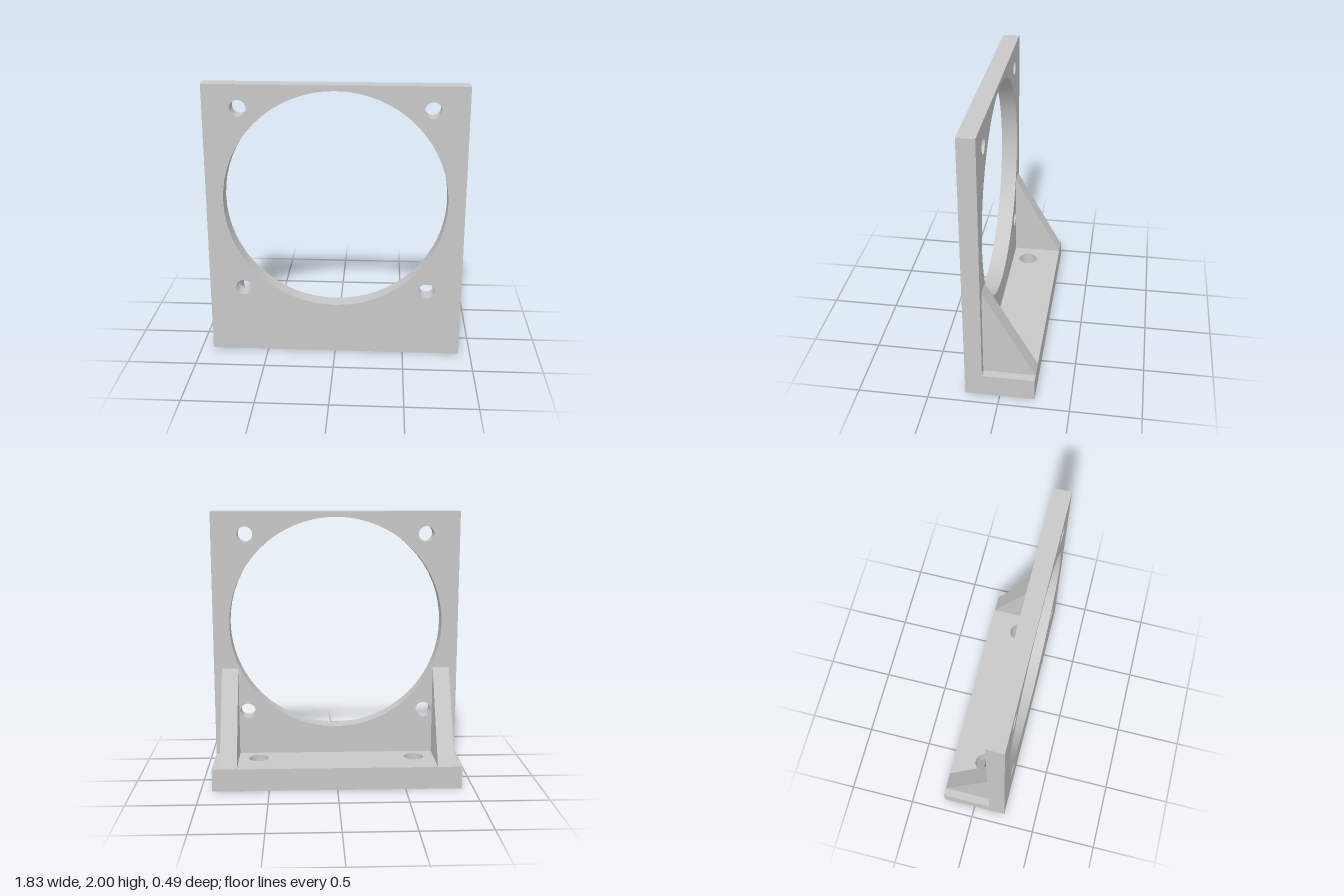
import * as THREE from 'three';
import { toCreasedNormals } from 'three/addons/utils/BufferGeometryUtils.js';

const HALF_W = 0.915, HEIGHT = 2, FRONT = 0.247, PLATE_BACK = 0.124, BACK = -0.247, BASE_H = 0.168;

function rectangle(x0, y0, x1, y1) {
  return new THREE.Shape([
    new THREE.Vector2(x0, y0), new THREE.Vector2(x1, y0),
    new THREE.Vector2(x1, y1), new THREE.Vector2(x0, y1),
  ]);
}

function addHole(shape, x, y, r) {
  shape.holes.push(new THREE.Path().absarc(x, y, r, 0, Math.PI * 2, true));
}

function extrude(shape, depth, curveSegments) {
  const geometry = new THREE.ExtrudeGeometry(shape, { depth, curveSegments, bevelEnabled: false });
  return toCreasedNormals(geometry, 0.6);
}

export function createModel() {
  const group = new THREE.Group();
  const grey = new THREE.MeshStandardMaterial({ color: 0xc8c8c8 });
  grey.name = 'lightGrey';

  function add(name, geometry) {
    const mesh = new THREE.Mesh(geometry, grey);
    mesh.name = name;
    group.add(mesh);
    return mesh;
  }

  // Upright plate with the large opening and four screw holes
  const plate = rectangle(-HALF_W, 0, HALF_W, HEIGHT);
  addHole(plate, 0, 1.168, 0.793);
  for (const x of [-0.667, 0.667]) {
    for (const y of [0.502, 1.835]) addHole(plate, x, y, 0.057);
  }
  add('uprightPlate', extrude(plate, FRONT - PLATE_BACK, 32)).position.z = PLATE_BACK;

  // Base flange behind the plate with two mounting holes
  const base = rectangle(-HALF_W, -PLATE_BACK, HALF_W, -BACK);
  for (const x of [-0.584, 0.584]) addHole(base, x, 0, 0.072);
  add('baseFlange', extrude(base, BASE_H, 32).rotateX(-Math.PI / 2));

  // Triangular gussets between flange and plate
  const gusset = new THREE.Shape([
    new THREE.Vector2(BACK, BASE_H),
    new THREE.Vector2(PLATE_BACK, BASE_H),
    new THREE.Vector2(PLATE_BACK, 0.833),
  ]);
  const thickness = 0.123;
  for (const [name, centre] of [['leftGusset', 0.795], ['rightGusset', -0.795]]) {
    const geometry = extrude(gusset, thickness, 1).rotateY(-Math.PI / 2);
    add(name, geometry).position.x = centre + thickness / 2;
  }

  return group;
}
